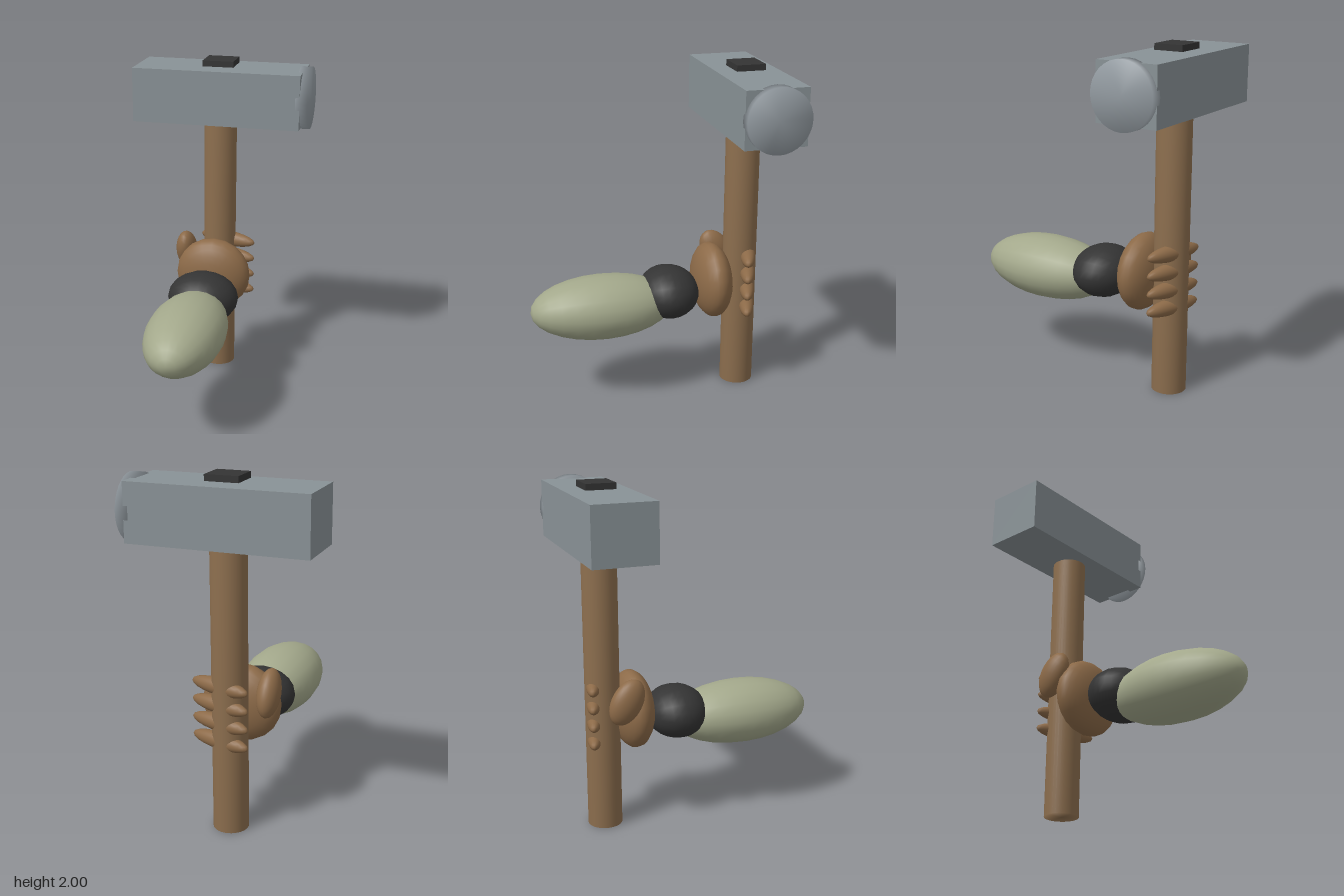
import * as THREE from 'three';
import { mergeVertices } from 'three/addons/utils/BufferGeometryUtils.js';

const material = (name, color) => {
  const m = new THREE.MeshStandardMaterial({ color });
  m.name = name;
  return m;
};

// Weld seams so shading runs smoothly over the rims
function softCylinder(radius, height, sides) {
  const g = new THREE.CylinderGeometry(radius, radius, height, sides);
  g.deleteAttribute('uv');
  g.deleteAttribute('normal');
  const welded = mergeVertices(g, 1e-4);
  welded.computeVertexNormals();
  return welded;
}

export function createModel() {
  const group = new THREE.Group();
  const wood = material('wood', 0x8c6e4e);
  const skin = material('skin', 0x8c6a48);
  const steel = material('steel', 0x899296);
  const polished = material('polished steel', 0x939ba1);
  const dark = material('dark', 0x343434);
  const sleeve = material('sleeve cloth', 0xa3a88b);

  function add(name, geometry, mat, position, rotation = [0, 0, 0]) {
    const mesh = new THREE.Mesh(geometry, mat);
    mesh.name = name;
    mesh.position.set(...position);
    mesh.rotation.set(...rotation);
    group.add(mesh);
    return mesh;
  }

  // Ellipsoid with its poles along z
  function ellipsoid(name, mat, radii, position, rotation) {
    const g = new THREE.SphereGeometry(1, 20, 14).rotateX(Math.PI / 2);
    g.scale(...radii);
    return add(name, g, mat, position, rotation);
  }

  // Hammer
  add('handle', softCylinder(0.1, 1.66, 32), wood, [-0.027, 0.83, -0.547]);
  add('hammerHead', new THREE.BoxGeometry(1.01, 0.325, 0.36), steel, [-0.025, 1.7925, -0.55]);
  add('strikingFace', softCylinder(0.184, 0.07, 32), polished, [0.49, 1.79, -0.55], [0, 0, -Math.PI / 2]);
  add('wedge', new THREE.BoxGeometry(0.187, 0.035, 0.17), dark, [-0.027, 1.9825, -0.55]);

  // Arm
  ellipsoid('forearm', sleeve, [0.228, 0.19, 0.432], [-0.027, 0.585, 0.302]);
  ellipsoid('cuff', dark, [0.214, 0.155, 0.182], [-0.027, 0.636, -0.1]);

  // Hand gripping the handle
  ellipsoid('palm', skin, [0.232, 0.228, 0.115], [-0.027, 0.684, -0.37]);
  ellipsoid('thumb', skin, [0.065, 0.14, 0.09], [-0.22, 0.795, -0.46], [0.5, 0, 0]);
  for (let i = 0; i < 4; i++) {
    ellipsoid('finger' + (i + 1), skin, [0.192, 0.048, 0.046], [0.018, 0.845 - i * 0.106, -0.583], [0, -0.3, 0]);
  }
  return group;
}
